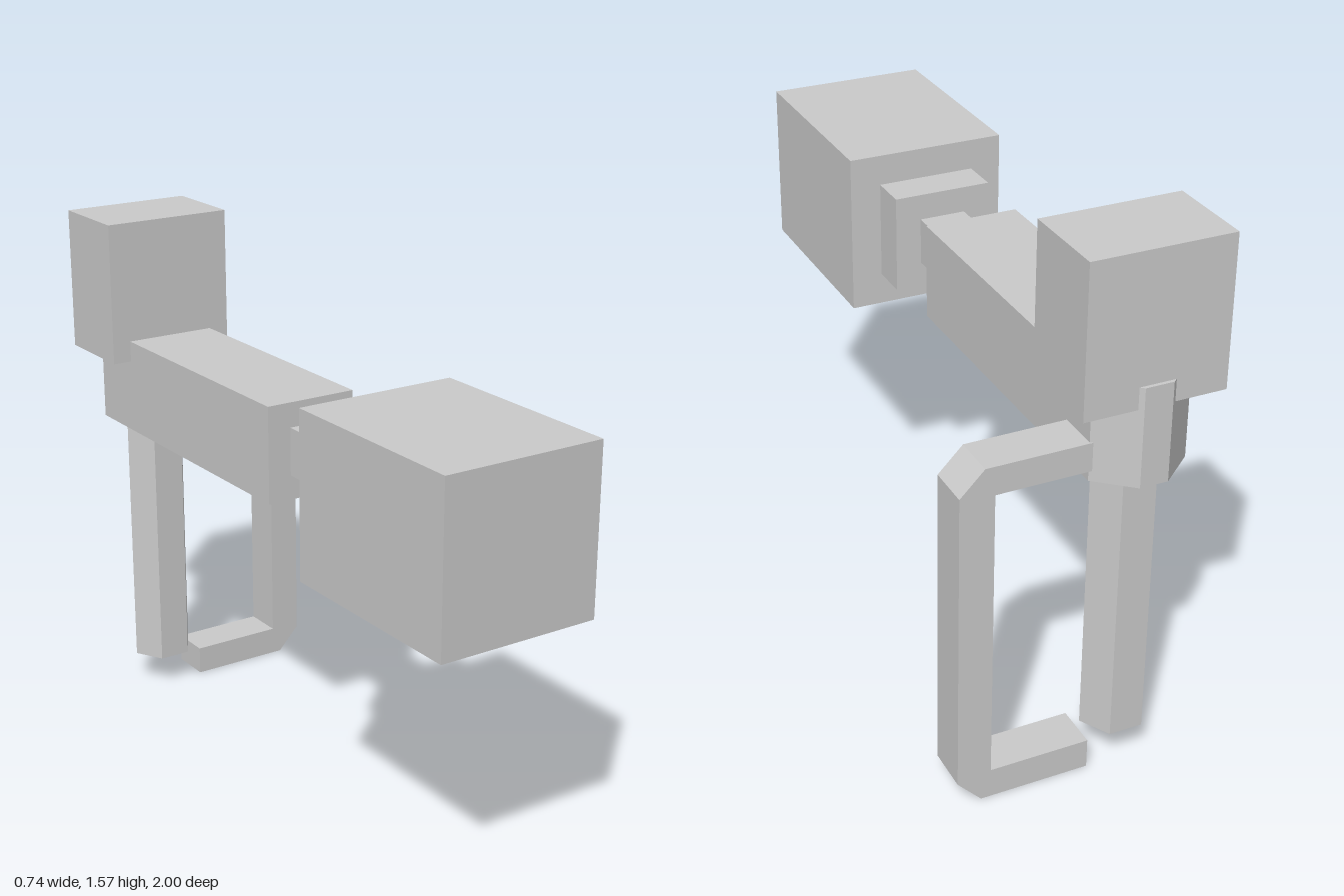
import * as THREE from 'three';

const material = new THREE.MeshStandardMaterial({ color: 0xcccccc, flatShading: true });

export function createModel() {
  const model = new THREE.Group();
  model.name = 'model';

  const add = (name, geometry) => {
    const mesh = new THREE.Mesh(geometry, material);
    mesh.name = name;
    model.add(mesh);
    return mesh;
  };

  // Box given by its limits on each axis
  const box = (name, [x0, x1], [y0, y1], [z0, z1]) =>
    add(name, new THREE.BoxGeometry(x1 - x0, y1 - y0, z1 - z0))
      .position.set((x0 + x1) / 2, (y0 + y1) / 2, (z0 + z1) / 2);

  const extrude = (points, depth) => new THREE.ExtrudeGeometry(
    new THREE.Shape(points.map(([x, y]) => new THREE.Vector2(x, y))),
    { depth, bevelEnabled: false });

  // Front head, collar and neck
  box('frontHead', [-0.37, 0.113], [0.823, 1.305], [0.378, 1]);
  box('collar', [-0.277, 0.02], [0.92, 1.213], [0.26, 0.378]);
  box('neck', [-0.198, -0.058], [0.995, 1.135], [-0.066, 0.26]);

  // Body with a chamfered rear end: plan outline in (x, -z), extruded upward
  const body = add('body', extrude([
    [-0.27, -0.066], [0.01, -0.066], [0.01, 0.915],
    [-0.09, 1], [-0.17, 1], [-0.27, 0.915],
  ], 0.285).rotateX(-Math.PI / 2));
  body.position.y = 0.923;

  // Block on top of the rear end
  box('topBlock', [-0.328, 0.073], [1.145, 1.573], [-0.99, -0.727]);

  // Hexagonal grip with a flat side facing the front
  const grip = add('grip', new THREE.CylinderGeometry(0.0975, 0.0975, 0.808, 6).rotateY(Math.PI / 6));
  grip.position.set(-0.128, 0.506, -0.853);

  // Side guard: open bracket with chamfered outer corners
  const guard = add('sideGuard', extrude([
    [-0.02, 0], [0.298, 0], [0.367, 0.073], [0.367, 0.965], [0.298, 1.035], [-0.02, 1.035],
    [-0.02, 0.953], [0.27, 0.953], [0.27, 0.088], [-0.02, 0.088],
  ], 0.127));
  guard.position.z = -0.921;

  return model;
}
